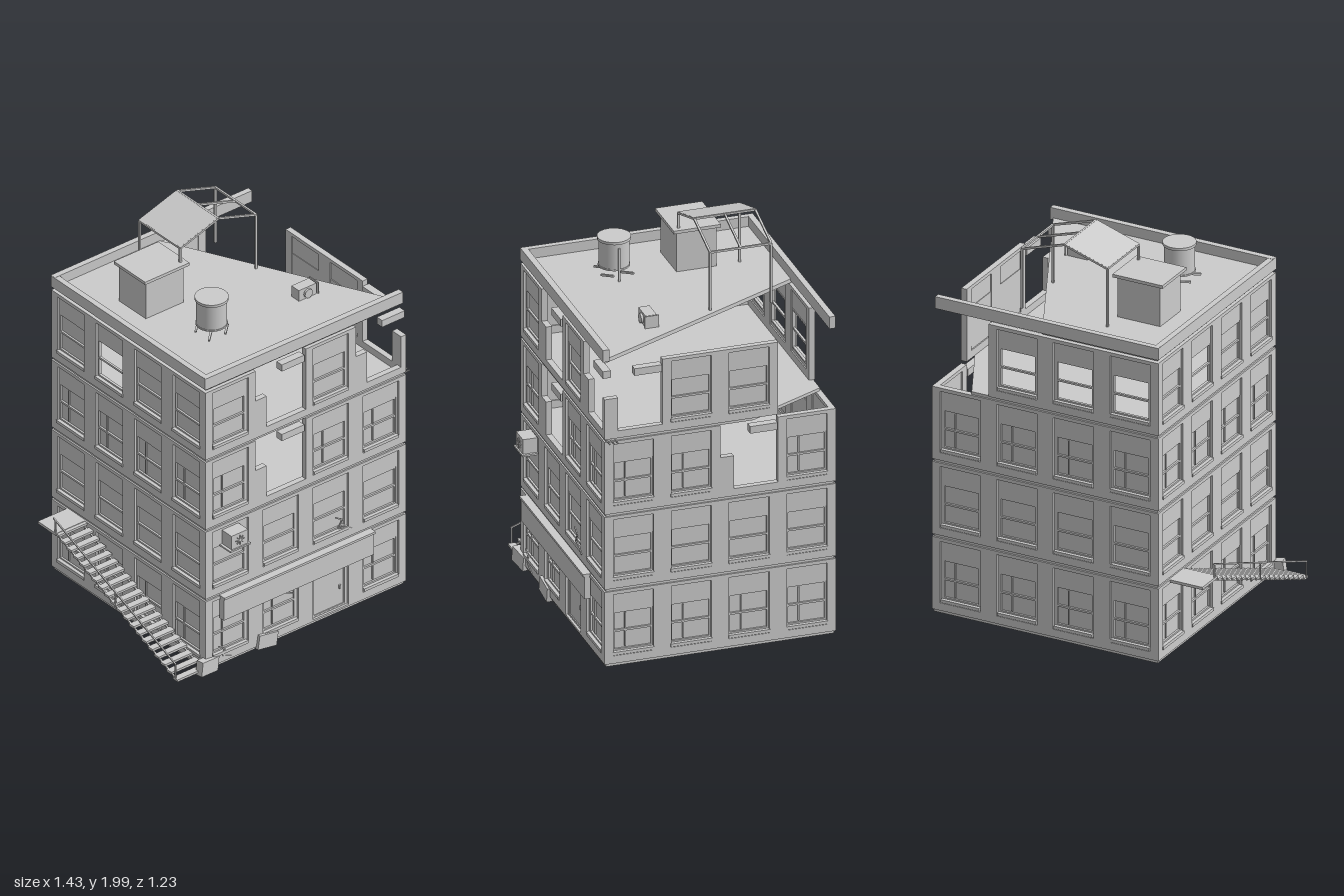
import * as THREE from 'three';

const concrete = new THREE.MeshStandardMaterial({ color: 0xcccccc });
concrete.name = 'concreteGrey';

const CX = 0.07, CZ = -0.033;      // centre of the block
const HX = 0.61, HZ = 0.578;       // half width and half depth
const BASE = 0.035, PITCH = 0.392, BAY_H = 0.378;

function add(parent, name, geo, x = 0, y = 0, z = 0) {
  const m = new THREE.Mesh(geo, concrete);
  m.name = name;
  m.position.set(x, y, z);
  parent.add(m);
  return m;
}

// Box given by its minimum and maximum corners
function box(parent, name, x0, x1, y0, y1, z0, z1) {
  return add(parent, name, new THREE.BoxGeometry(x1 - x0, y1 - y0, z1 - z0),
    (x0 + x1) / 2, (y0 + y1) / 2, (z0 + z1) / 2);
}

// Thin bar between two points
function bar(parent, name, a, b, t = 0.01) {
  const p = new THREE.Vector3(...a), q = new THREE.Vector3(...b);
  const m = add(parent, name, new THREE.BoxGeometry(t, t, p.distanceTo(q)));
  m.position.copy(p).add(q).multiplyScalar(0.5);
  m.lookAt(q);
  return m;
}

// Upright plate with a rectangular hole, hole = [x0, x1, y0, y1]
function holedPlate(parent, name, w, h, depth, hole, z) {
  const s = new THREE.Shape([[-w / 2, 0], [w / 2, 0], [w / 2, h], [-w / 2, h]].map(p => new THREE.Vector2(...p)));
  const [a, b, c, d] = hole;
  s.holes.push(new THREE.Path([[a, c], [a, d], [b, d], [b, c]].map(p => new THREE.Vector2(...p))));
  return add(parent, name, new THREE.ExtrudeGeometry(s, { depth, bevelEnabled: false }), 0, 0, z);
}

// Flat slab from [x, z] corners, top at y
function slab(parent, name, pts, y, t) {
  const s = new THREE.Shape(pts.map(([x, z]) => new THREE.Vector2(x, -z)));
  const m = add(parent, name, new THREE.ExtrudeGeometry(s, { depth: t, bevelEnabled: false }), 0, y - t, 0);
  m.rotation.x = -Math.PI / 2;
}

// Wall bay with pilaster surround, recessed wall and sash window; outer face at z = 0
function windowBay(w, { vertical = false, open = false, door = false } = {}) {
  const g = new THREE.Group();
  g.name = door ? 'doorBay' : 'windowBay';
  const y0 = door ? 0.012 : 0.06, y1 = 0.265, r = 0.1;
  const inner = w / 2 - 0.044;
  holedPlate(g, 'pilasterSurround', w, BAY_H, 0.03, [-inner, inner, door ? 0.01 : 0.04, 0.36], -0.03);
  holedPlate(g, 'recessedWall', w - 0.04, 0.37, 0.012, [-r, r, y0, y1], -0.024);
  holedPlate(g, 'windowFrame', 2 * r, y1 - y0, 0.014, [-r + 0.008, r - 0.008, 0.008, y1 - y0 - 0.008], -0.027).position.y = y0;
  if (!open) box(g, 'pane', -r, r, y0, y1, -0.027, -0.023);
  if (door) {
    box(g, 'doorLeaf', -0.088, 0.088, y0, y1 - 0.012, -0.024, -0.018);
    box(g, 'doorHandle', 0.06, 0.07, 0.11, 0.13, -0.02, -0.01);
    return g;
  }
  const mid = (y0 + y1) / 2;
  box(g, 'meetingRail', -r, r, mid - 0.005, mid + 0.005, -0.025, -0.013);
  if (vertical) box(g, 'glazingBar', -0.039, -0.033, y0 + 0.015, y1 - 0.015, -0.025, -0.016);
  box(g, 'windowSill', -r - 0.004, r + 0.004, 0.044, 0.06, -0.02, 0.005);
  return g;
}

// What is left of a collapsed bay
function brokenBay(w) {
  const g = new THREE.Group();
  g.name = 'brokenBay';
  box(g, 'brokenBase', -w / 2, w / 2, 0, 0.038, -0.03, 0);
  box(g, 'brokenPier', -w / 2, -w / 2 + 0.067, 0, 0.21, -0.03, 0);
  box(g, 'hangingLintel', 0.003, 0.14, 0.315, 0.352, -0.035, 0.005);
  return g;
}

// Zigzag crack as thin strips on the front
function crack(parent, pts) {
  for (let i = 1; i < pts.length; i++)
    bar(parent, 'crack', [...pts[i - 1], 0.546], [...pts[i], 0.546], 0.006);
}

export function createModel() {
  const model = new THREE.Group();
  model.name = 'ruinedApartmentBlock';

  // Four facades; bays run left to right as seen from outside, keyed by floor and bay
  const facades = [
    { name: 'frontFacade', turn: 0, w: HX / 2, d: HZ, broken: ['2,1', '3,1', '3,3'], door: '0,2' },
    { name: 'rightFacade', turn: Math.PI / 2, w: HZ / 2, d: HX, broken: ['2,2', '3,0'], missing: '3,3' },
    { name: 'backFacade', turn: Math.PI, w: HX / 2, d: HZ, missing: '3,0', open: ['3,1', '3,2', '3,3'] },
    { name: 'leftFacade', turn: -Math.PI / 2, w: HZ / 2, d: HX, open: ['3,1'] },
  ];
  for (const f of facades) {
    const face = new THREE.Group();
    face.name = f.name;
    face.position.set(CX, 0, CZ);
    face.rotation.y = f.turn;
    model.add(face);
    for (let floor = 0; floor < 4; floor++) for (let i = 0; i < 4; i++) {
      const key = floor + ',' + i;
      if (key === f.missing) continue;
      const bay = f.broken?.includes(key) ? brokenBay(f.w)
        : windowBay(f.w, { vertical: floor % 2 === 0, open: f.open?.includes(key), door: key === f.door });
      bay.position.set((i - 1.5) * f.w, BASE + floor * PITCH, f.d);
      face.add(bay);
    }
  }

  // Floors, the upper ones torn off at the back right corner
  const L = -0.532, R = 0.672, B = -0.603, F = 0.537;
  box(model, 'groundSlab', L, R, 0.02, BASE, B, F);
  for (let i = 1; i < 3; i++) box(model, 'floorSlab', L, R, BASE + i * PITCH - 0.015, BASE + i * PITCH + 0.001, B, F);
  slab(model, 'tornFloor', [[L, F], [R, F], [R, -0.2], [0.47, B], [L, B]], BASE + 3 * PITCH + 0.001, 0.016);
  slab(model, 'roofSlab', [[L, F], [0.655, F], [0.09, B], [L, B]], 1.618, 0.02);
  for (const z of [0.49, 0.51, 0.53]) bar(model, 'reinforcingRod', [0.6, 1.2, z], [0.715, 1.2, z], 0.005);

  // Parapet on three sides
  box(model, 'frontParapet', -0.54, 0.66, 1.608, 1.67, 0.515, 0.547);
  box(model, 'backParapet', -0.54, 0.66, 1.608, 1.67, -0.615, -0.585);
  box(model, 'leftParapet', -0.542, -0.512, 1.608, 1.669, -0.612, 0.545);

  // Stair hut
  box(model, 'stairHut', -0.38, -0.15, 1.61, 1.826, -0.3, -0.1);
  box(model, 'stairHutRoof', -0.4, -0.13, 1.826, 1.842, -0.315, -0.08);

  // Water tank on legs
  const tank = new THREE.Group();
  tank.name = 'waterTank';
  tank.position.set(-0.215, 0, 0.19);
  model.add(tank);
  add(tank, 'tankBody', new THREE.CylinderGeometry(0.074, 0.074, 0.14, 24), 0, 1.743, 0);
  add(tank, 'tankLid', new THREE.CylinderGeometry(0.081, 0.081, 0.014, 24), 0, 1.818, 0);
  add(tank, 'tankRim', new THREE.CylinderGeometry(0.077, 0.077, 0.008, 24), 0, 1.677, 0);
  for (const x of [-0.05, 0.05]) for (const z of [-0.05, 0.05])
    bar(tank, 'tankLeg', [x, 1.61, z], [x, 1.68, z], 0.01);
  box(tank, 'tankPipe', 0.07, 0.08, 1.61, 1.79, -0.005, 0.005);

  // Gabled steel canopy with one sheeted slope
  const x0 = -0.16, x1 = 0.3, xm = 0.07, eave = 1.92, ridge = 1.993;
  for (const z of [-0.418, -0.113]) {
    for (const x of [x0, x1]) {
      bar(model, 'canopyPost', [x, 1.61, z], [x, eave, z], 0.011);
      bar(model, 'canopyRafter', [x, eave, z], [xm, ridge, z], 0.01);
    }
  }
  for (const [x, y] of [[x0, eave], [xm, ridge], [x1, eave]])
    bar(model, 'canopyPurlin', [x, y, -0.42], [x, y, -0.11], 0.01);
  bar(model, 'canopyMiddleRafter', [xm, ridge, -0.266], [x1, eave, -0.266], 0.01);
  const sheet = add(model, 'canopySheet', new THREE.BoxGeometry(Math.hypot(xm - x0, ridge - eave), 0.005, 0.305),
    (x0 + xm) / 2, (eave + ridge) / 2 + 0.003, -0.266);
  sheet.rotation.z = Math.atan2(ridge - eave, xm - x0);

  // Roof ventilator
  box(model, 'roofVent', 0.277, 0.383, 1.61, 1.678, 0.182, 0.238);
  add(model, 'roofVentFan', new THREE.CylinderGeometry(0.024, 0.024, 0.012, 16), 0.33, 1.645, 0.243).rotation.x = Math.PI / 2;
  box(model, 'roofVentPlate', 0.39, 0.395, 1.612, 1.68, 0.175, 0.245);

  // Blank shop fascia
  box(model, 'shopFascia', -0.45, 0.463, 0.285, 0.412, 0.54, 0.572);
  box(model, 'fasciaTopRail', -0.453, 0.466, 0.404, 0.416, 0.54, 0.58);

  // Window air conditioner
  box(model, 'airConditioner', -0.43, -0.33, 0.692, 0.768, 0.52, 0.605);
  box(model, 'airConditionerShelf', -0.443, -0.317, 0.683, 0.692, 0.53, 0.612);
  for (let i = 0; i < 4; i++) {
    const blade = box(model, 'fanBlade', -0.405, -0.355, 0.728, 0.732, 0.604, 0.61);
    blade.rotation.z = i * Math.PI / 4;
  }

  // Outside steps along the left wall
  const n = 20, top = [0.405, -0.36], low = [0.04, 0.53];
  for (let i = 0; i < n; i++) {
    const t = i / (n - 1);
    const y = low[0] + t * (top[0] - low[0]), z = low[1] + t * (top[1] - low[1]);
    box(model, 'stairTread', -0.712, -0.54, y - 0.006, y + 0.006, z - 0.018, z + 0.018);
  }
  box(model, 'stairLanding', -0.715, -0.54, 0.4, 0.414, -0.497, -0.36);
  for (const x of [-0.7, -0.55])
    bar(model, 'stairStringer', [x, 0.033, 0.53], [x, 0.395, -0.36], 0.008);
  bar(model, 'handrail', [-0.711, 0.125, 0.535], [-0.711, 0.488, -0.385], 0.007);
  for (const t of [0, 0.5, 1])
    bar(model, 'handrailPost', [-0.711, 0.04 + t * 0.363, 0.53 - t * 0.9], [-0.711, 0.125 + t * 0.36, 0.53 - t * 0.9], 0.006);

  // Rubble and cracks
  for (const [x, y, z, tilt, turn] of [[-0.528, 0.052, 0.545, -0.13, 0.15], [-0.17, 0.052, 0.54, -0.16, 0]]) {
    const r = add(model, 'rubbleBlock', new THREE.BoxGeometry(0.115, 0.075, 0.04), x, y, z);
    r.rotation.set(0, turn, tilt);
  }
  crack(model, [[0.25, 0.565], [0.29, 0.54], [0.265, 0.5], [0.31, 0.49], [0.35, 0.465]]);
  crack(model, [[-0.46, 0.13], [-0.425, 0.105], [-0.435, 0.07], [-0.37, 0.04]]);
  crack(model, [[-0.12, 0.3], [-0.07, 0.275], [-0.01, 0.25]]);

  return model;
}
